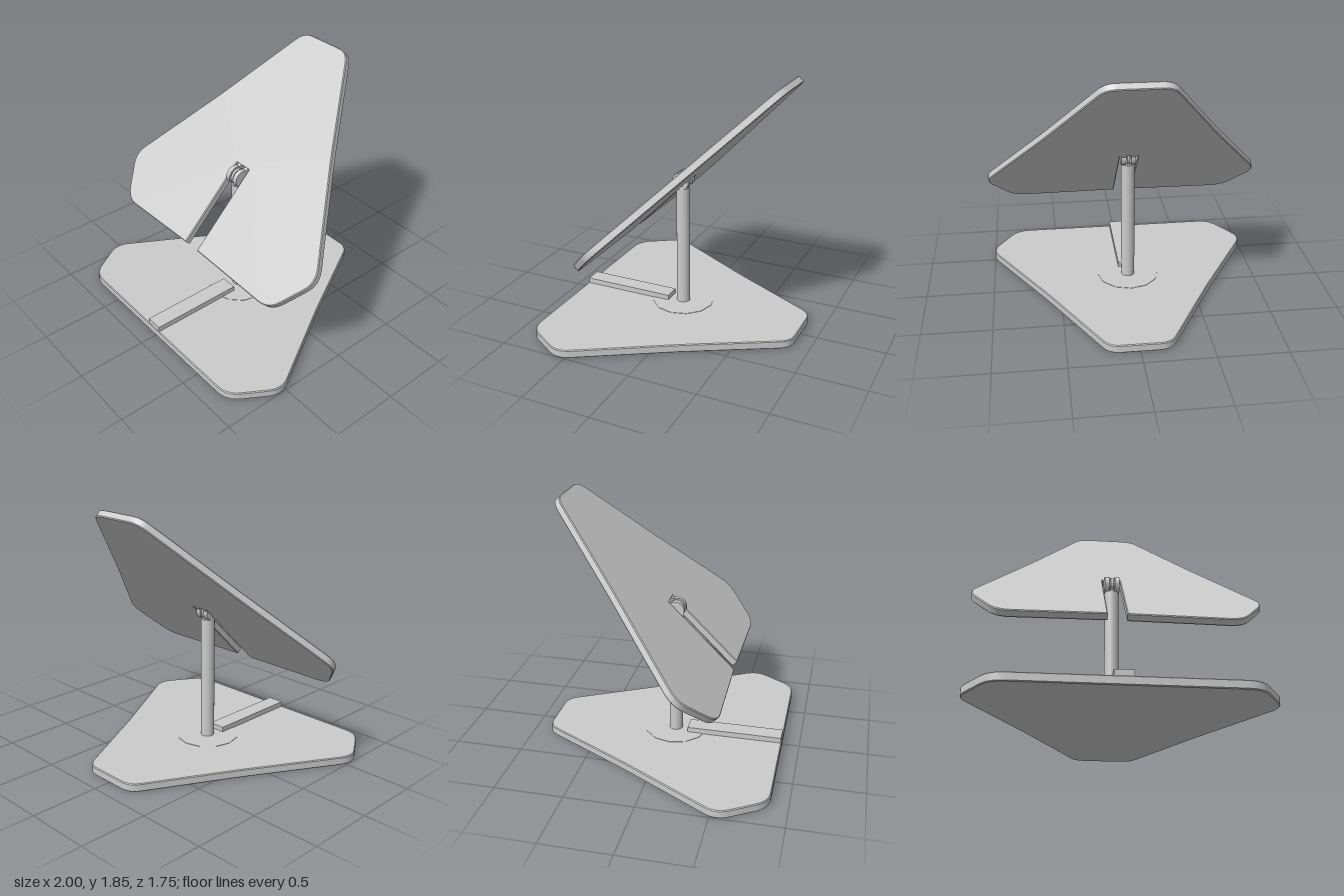
import * as THREE from 'three';
import { toCreasedNormals } from 'three/addons/utils/BufferGeometryUtils.js';

const material = new THREE.MeshStandardMaterial({ color: 0xcccccc });
const POST_X = -0.022, POST_Z = 0.07, PIVOT_Y = 1.04;

function part(name, geometry, parent, x = 0, y = 0, z = 0) {
  const mesh = new THREE.Mesh(geometry, material);
  mesh.name = name;
  mesh.position.set(x, y, z);
  parent.add(mesh);
  return mesh;
}

// Closed shape from [x, y, cut] corners; each corner is rounded over its cut length
function roundedShape(corners) {
  const shape = new THREE.Shape();
  const n = corners.length;
  corners.forEach(([x, y, cut], i) => {
    const c = new THREE.Vector2(x, y);
    const towards = ([px, py]) => new THREE.Vector2(px, py).sub(c).setLength(cut).add(c);
    const a = cut ? towards(corners[(i + n - 1) % n]) : c;
    if (i === 0) shape.moveTo(a.x, a.y);
    else shape.lineTo(a.x, a.y);
    if (cut) {
      const b = towards(corners[(i + 1) % n]);
      shape.quadraticCurveTo(c.x, c.y, b.x, b.y);
    }
  });
  shape.closePath();
  return shape;
}

// Six-cornered plate outline; the lower edge may hold extra corners such as a slot
function plateGeometry(thickness, lowerEdge = []) {
  const side = [[0.82, -0.875, 0.1], [1.025, -0.55, 0.1], [0.595, 0.18, 0.1], [0.215, 0.877, 0.08]];
  const mirrored = side.map(([x, y, cut]) => [-x, y, cut]).reverse();
  const bevel = 0.006;
  const geometry = new THREE.ExtrudeGeometry(roundedShape([...side, ...mirrored, ...lowerEdge]), {
    depth: thickness - 2 * bevel, bevelSize: bevel, bevelThickness: bevel,
    bevelOffset: -bevel, bevelSegments: 1, curveSegments: 6,
  });
  geometry.translate(0, 0, bevel);
  return toCreasedNormals(geometry, 0.5);
}

function discGeometry(radius, width, sides) {
  return new THREE.CylinderGeometry(radius, radius, width, sides).rotateZ(Math.PI / 2);
}

export function createModel() {
  const model = new THREE.Group();
  model.name = 'tiltingPanelStand';

  // Base plate, low collar and the bar lying in front of the post
  part('basePlate', plateGeometry(0.06), model).rotation.x = -Math.PI / 2;
  part('baseCollar', new THREE.CylinderGeometry(0.23, 0.23, 0.006, 12), model, POST_X, 0.06, POST_Z);
  part('baseBar', new THREE.BoxGeometry(0.125, 0.05, 0.7), model, POST_X, 0.075, 0.52);

  // Post with the middle knuckle of the hinge
  part('post', new THREE.CylinderGeometry(0.05, 0.05, 0.93, 32), model, POST_X, 0.515, POST_Z);
  part('postKnuckle', discGeometry(0.06, 0.02, 16), model, POST_X, PIVOT_Y, POST_Z);
  part('knuckleWeb', new THREE.BoxGeometry(0.02, 0.07, 0.08), model, POST_X, 1.005, POST_Z);
  part('hingePin', discGeometry(0.02, 0.1, 12), model, POST_X, PIVOT_Y, POST_Z);

  // Panel tilted back 45 degrees, with a slot that clears the post
  const panel = new THREE.Group();
  panel.name = 'tiltedPanel';
  panel.position.set(0, 1.215, -0.118);
  panel.rotation.x = -Math.PI / 4;
  model.add(panel);
  const slot = [[-0.087, -0.86, 0], [-0.087, -0.18, 0], [0.043, -0.18, 0], [0.043, -0.86, 0]];
  part('panelPlate', plateGeometry(0.054, slot), panel, 0, 0, -0.027);

  // Pair of hinge lugs joining the end of the slot to the pin
  for (const s of [-1, 1]) {
    const x = POST_X + s * 0.036;
    part('hingeLug', discGeometry(0.066, 0.034, 12), panel, x, -0.257, 0.009);
    part('hingeLugArm', new THREE.BoxGeometry(0.034, 0.09, 0.05), panel, x, -0.215, 0);
  }
  return model;
}
